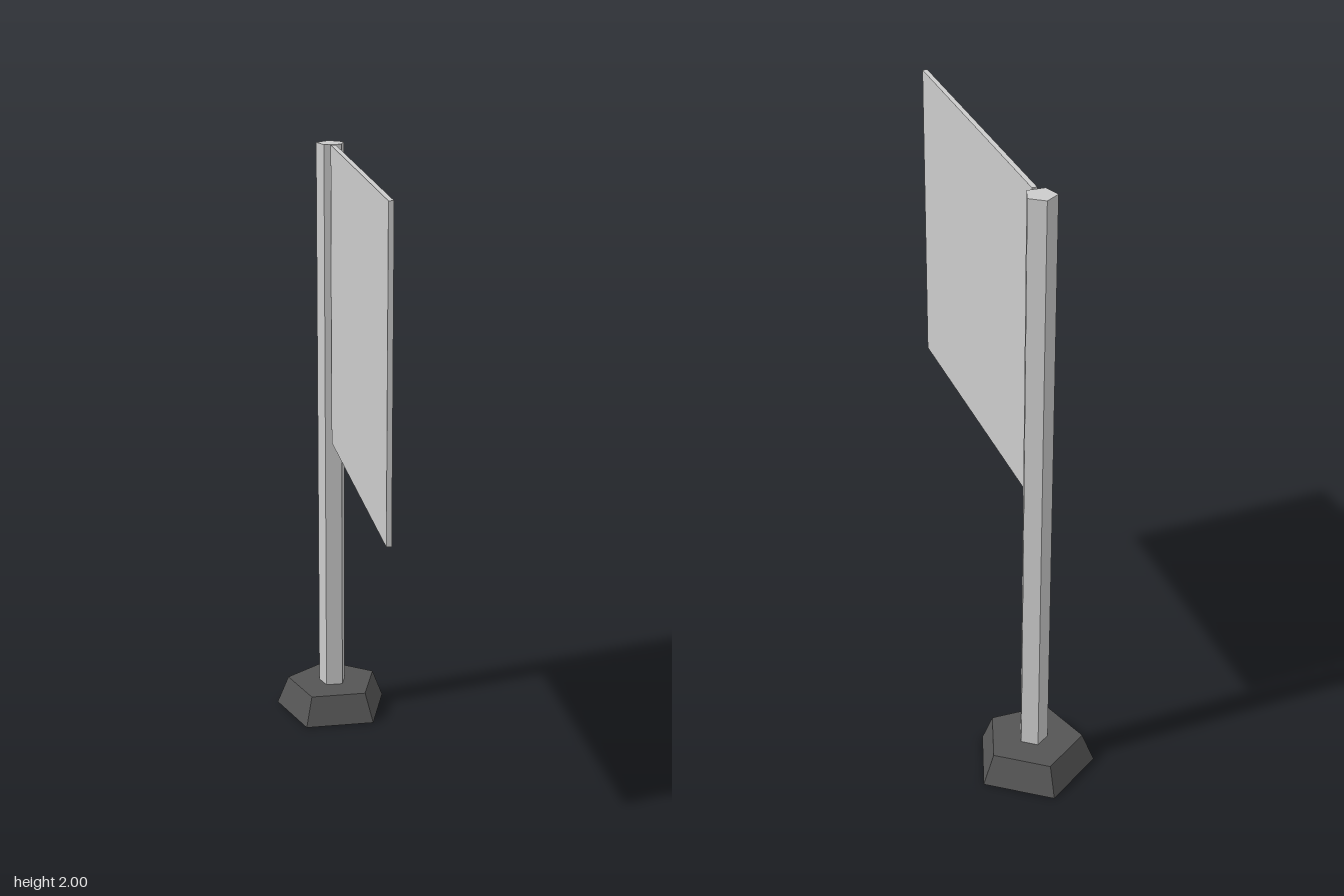
import * as THREE from 'three';

const POLE_Z = -0.425;

export function createModel() {
  const group = new THREE.Group();
  const grey = new THREE.MeshStandardMaterial({ color: 0xcccccc, flatShading: true });
  const dark = new THREE.MeshStandardMaterial({ color: 0x555555, flatShading: true });

  function add(name, geometry, material, y, z) {
    const mesh = new THREE.Mesh(geometry, material);
    mesh.name = name;
    mesh.position.set(0, y, z);
    group.add(mesh);
  }

  // Five-sided prism with one corner pointing to the back
  const pentagon = (top, bottom, height) =>
    new THREE.CylinderGeometry(top, bottom, height, 5, 1, false, Math.PI);

  // Tapered foot and upright pole
  add('base', pentagon(0.16, 0.2, 0.1), dark, 0.05, POLE_Z);
  add('pole', pentagon(0.048, 0.048, 1.9), grey, 1.05, POLE_Z);

  // Thin square flag flying forward, with a hairline gap to the pole
  add('flag', new THREE.BoxGeometry(0.016, 1, 1), grey, 1.5, 0.125);

  return group;
}
